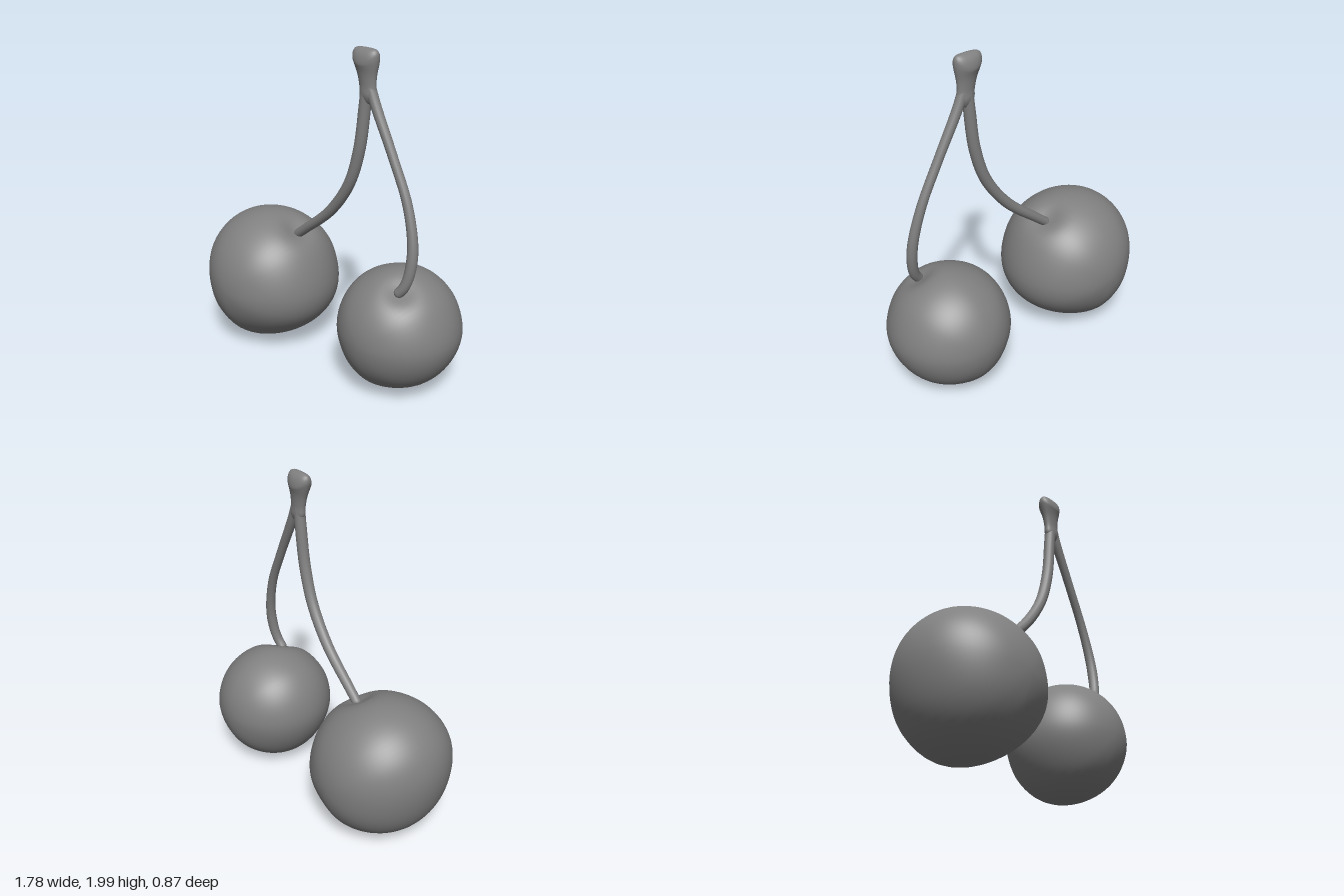
import * as THREE from 'three';
import { mergeVertices } from 'three/addons/utils/BufferGeometryUtils.js';

const material = new THREE.MeshStandardMaterial({ color: 0x808080 });

function addMesh(parent, geometry, name) {
  const mesh = new THREE.Mesh(geometry, material);
  mesh.name = name;
  parent.add(mesh);
  return mesh;
}

// Drop seams so the normals run smoothly across the whole surface
function smooth(geometry) {
  geometry.deleteAttribute('uv');
  geometry.deleteAttribute('normal');
  const merged = mergeVertices(geometry, 1e-4);
  merged.computeVertexNormals();
  return merged;
}

// Fruit: a sphere fitted to an uneven front outline, with a dimple for the stem
function fruitGeometry({ outline, center, depth, dimple, dent }) {
  const curve = new THREE.CatmullRomCurve3(
    outline.map(([x, y]) => new THREE.Vector3(x, y, center.z)), true);
  const geometry = new THREE.SphereGeometry(1, 64, 48).rotateX(Math.PI / 2);
  const pos = geometry.attributes.position;
  const v = new THREE.Vector3();
  const inward = center.clone().sub(dimple).normalize();
  for (let i = 0; i < pos.count; i++) {
    v.fromBufferAttribute(pos, i);
    const turn = Math.atan2(v.y, v.x) / (2 * Math.PI);
    const rim = curve.getPoint((turn + 1) % 1);
    const z = v.z * depth;
    const s = Math.hypot(v.x, v.y);
    v.lerpVectors(center, rim, s);
    v.z += z;
    const d = v.distanceTo(dimple) / 0.09;
    v.addScaledVector(inward, dent * Math.exp(-d * d));
    pos.setXYZ(i, v.x, v.y, v.z);
  }
  return smooth(geometry);
}

// Stem: a tube whose radius follows a list of values, with a rounded lower end
function buildStem(name, points, radii) {
  const group = new THREE.Group();
  group.name = name;
  const curve = new THREE.CatmullRomCurve3(points.map(p => new THREE.Vector3(...p)));
  const segments = 60, sides = 16;
  const geometry = new THREE.TubeGeometry(curve, segments, 1, sides);
  const pos = geometry.attributes.position;
  const v = new THREE.Vector3();
  for (let i = 0; i < pos.count; i++) {
    const t = Math.floor(i / (sides + 1)) / segments;
    const f = t * (radii.length - 1);
    const k = Math.min(Math.floor(f), radii.length - 2);
    const r = THREE.MathUtils.lerp(radii[k], radii[k + 1], f - k);
    const c = curve.getPointAt(t);
    v.fromBufferAttribute(pos, i).sub(c).multiplyScalar(r).add(c);
    pos.setXYZ(i, v.x, v.y, v.z);
  }
  addMesh(group, smooth(geometry), name + 'Tube');
  const end = addMesh(group, new THREE.SphereGeometry(radii.at(-1), 16, 12), name + 'End');
  end.position.set(...points.at(-1));
  return group;
}

// Flattened knob where the stems join: leans toward its base, rounded over front to back
function knobGeometry() {
  const profile = [[0, 1.69], [0.03, 1.7], [0.056, 1.74], [0.055, 1.79], [0.063, 1.85],
    [0.08, 1.91], [0.088, 1.95], [0.083, 1.98], [0.06, 1.996], [0, 2]];
  const spline = new THREE.SplineCurve(profile.map(p => new THREE.Vector2(...p)));
  const points = spline.getPoints(36);
  points.forEach(p => { p.x = Math.max(p.x, 0); p.y = Math.min(p.y, 2); });
  const geometry = new THREE.LatheGeometry(points, 32);
  const pos = geometry.attributes.position;
  for (let i = 0; i < pos.count; i++) {
    const y = pos.getY(i);
    const z = pos.getZ(i) * 0.62;
    const top = THREE.MathUtils.smoothstep(y, 1.85, 1.98);
    pos.setXYZ(i, pos.getX(i) + 0.288 + 0.1 * Math.max(0, 1.95 - y), y - 14 * z * z * top, z);
  }
  return smooth(geometry);
}

export function createModel() {
  const model = new THREE.Group();
  model.name = 'cherryPair';

  addMesh(model, fruitGeometry({
    outline: [[-0.064, 0.41], [-0.14, 0.66], [-0.275, 0.795], [-0.505, 0.858], [-0.71, 0.81],
      [-0.845, 0.68], [-0.893, 0.5], [-0.845, 0.25], [-0.73, 0.095], [-0.52, 0.006],
      [-0.27, 0.092], [-0.105, 0.245]],
    center: new THREE.Vector3(-0.49, 0.43, 0.008),
    depth: 0.424,
    dimple: new THREE.Vector3(-0.28, 0.8, -0.015),
    dent: 0.045,
  }), 'largeFruit');

  addMesh(model, fruitGeometry({
    outline: [[0.891, 0.386], [0.815, 0.6], [0.68, 0.715], [0.51, 0.755], [0.305, 0.685],
      [0.198, 0.555], [0.16, 0.386], [0.21, 0.217], [0.32, 0.077], [0.495, 0.012],
      [0.72, 0.085], [0.845, 0.22]],
    center: new THREE.Vector3(0.52, 0.39, -0.066),
    depth: 0.37,
    dimple: new THREE.Vector3(0.635, 0.71, 0.07),
    dent: 0.035,
  }), 'smallFruit');

  model.add(buildStem('largeFruitStem', [
    [0.3, 1.82, 0], [0.285, 1.68, 0], [0.25, 1.42, 0.003], [0.175, 1.2, 0.002],
    [0.02, 0.99, -0.004], [-0.2, 0.81, -0.012], [-0.275, 0.752, -0.015],
  ], [0.034, 0.035, 0.035, 0.034, 0.033, 0.031, 0.029]));

  model.add(buildStem('smallFruitStem', [
    [0.31, 1.82, 0], [0.36, 1.7, 0], [0.5, 1.43, 0.005], [0.62, 1.18, 0.012],
    [0.68, 0.95, 0.03], [0.678, 0.8, 0.05], [0.655, 0.72, 0.066], [0.63, 0.685, 0.074],
  ], [0.031, 0.029, 0.027, 0.027, 0.029, 0.032, 0.03]));

  addMesh(model, knobGeometry(), 'stemKnob');
  return model;
}
